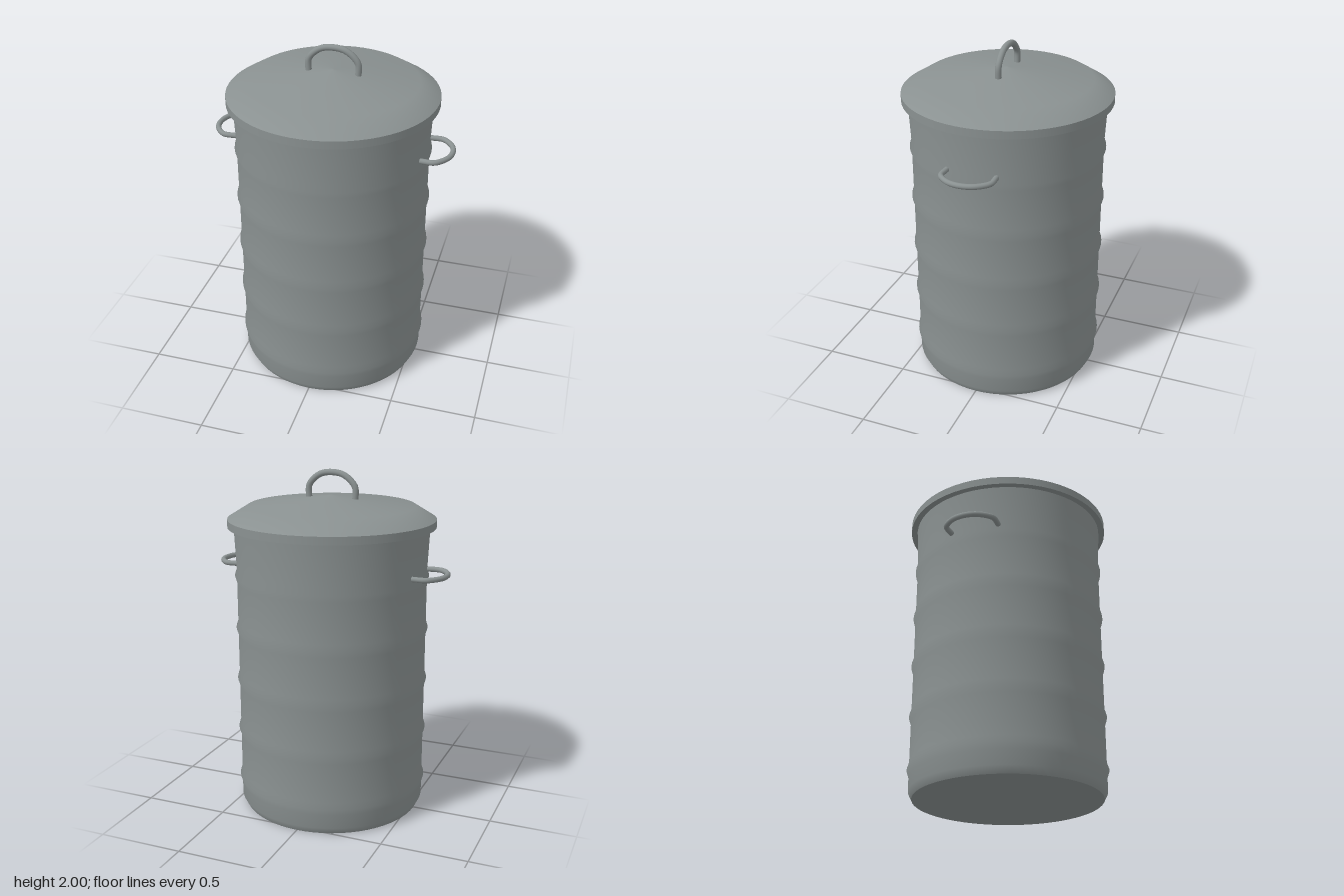
import * as THREE from 'three';

const SEGMENTS = 64;

export function createModel() {
  const group = new THREE.Group();
  const steel = new THREE.MeshStandardMaterial({ color: 0x8a9191 });
  steel.name = 'galvanised steel';

  const add = (name, geometry) => {
    const mesh = new THREE.Mesh(geometry, steel);
    mesh.name = name;
    group.add(mesh);
    return mesh;
  };
  const lathe = (name, pts) =>
    add(name, new THREE.LatheGeometry(pts.map(([r, y]) => new THREE.Vector2(r, y)), SEGMENTS));

  // Ribbed can body with a slight flare at the top
  const wall = [[0.53, 0], [0.55, 0.04]];
  for (let i = 0; i < 5; i++) {
    const y = 0.16 + i * 0.31;
    wall.push([0.55, y - 0.037], [0.562, y], [0.55, y + 0.037]);
  }
  wall.push([0.562, 1.685]);
  lathe('body', wall);
  lathe('base', [[0, 0], [0.53, 0]]);

  // Lid: flat underside, upright rim and sloping top
  lathe('lidUnderside', [[0, 1.68], [0.597, 1.68]]);
  lathe('lidRim', [[0.597, 1.68], [0.597, 1.725]]);
  lathe('lidTop', [[0.597, 1.725], [0.48, 1.797], [0, 1.855]]);

  // Bent-rod handle: legs, rounded shoulders and a bowed grip, drawn in the XY plane
  const handle = (name, radius, half) => {
    const points = [...half, ...half.slice(0, -1).reverse().map(([x, y]) => [-x, y])];
    const curve = new THREE.CatmullRomCurve3(
      points.map(([x, y]) => new THREE.Vector3(x, y, 0)), false, 'centripetal');
    return add(name, new THREE.TubeGeometry(curve, 40, radius, 12, false));
  };

  handle('lidHandle', 0.018,
    [[0.141, 1.82], [0.141, 1.9], [0.115, 1.938], [0.065, 1.972], [0, 1.982]]);

  // Side handles lie flat and bow outwards
  for (const side of [1, -1]) {
    const mesh = handle(side > 0 ? 'leftHandle' : 'rightHandle', 0.0155,
      [[0.142, 0.53], [0.142, 0.607], [0.115, 0.642], [0.065, 0.675], [0, 0.687]]);
    mesh.geometry.rotateX(Math.PI / 2).rotateY(side * Math.PI / 2);
    mesh.position.y = 1.44;
  }

  return group;
}
